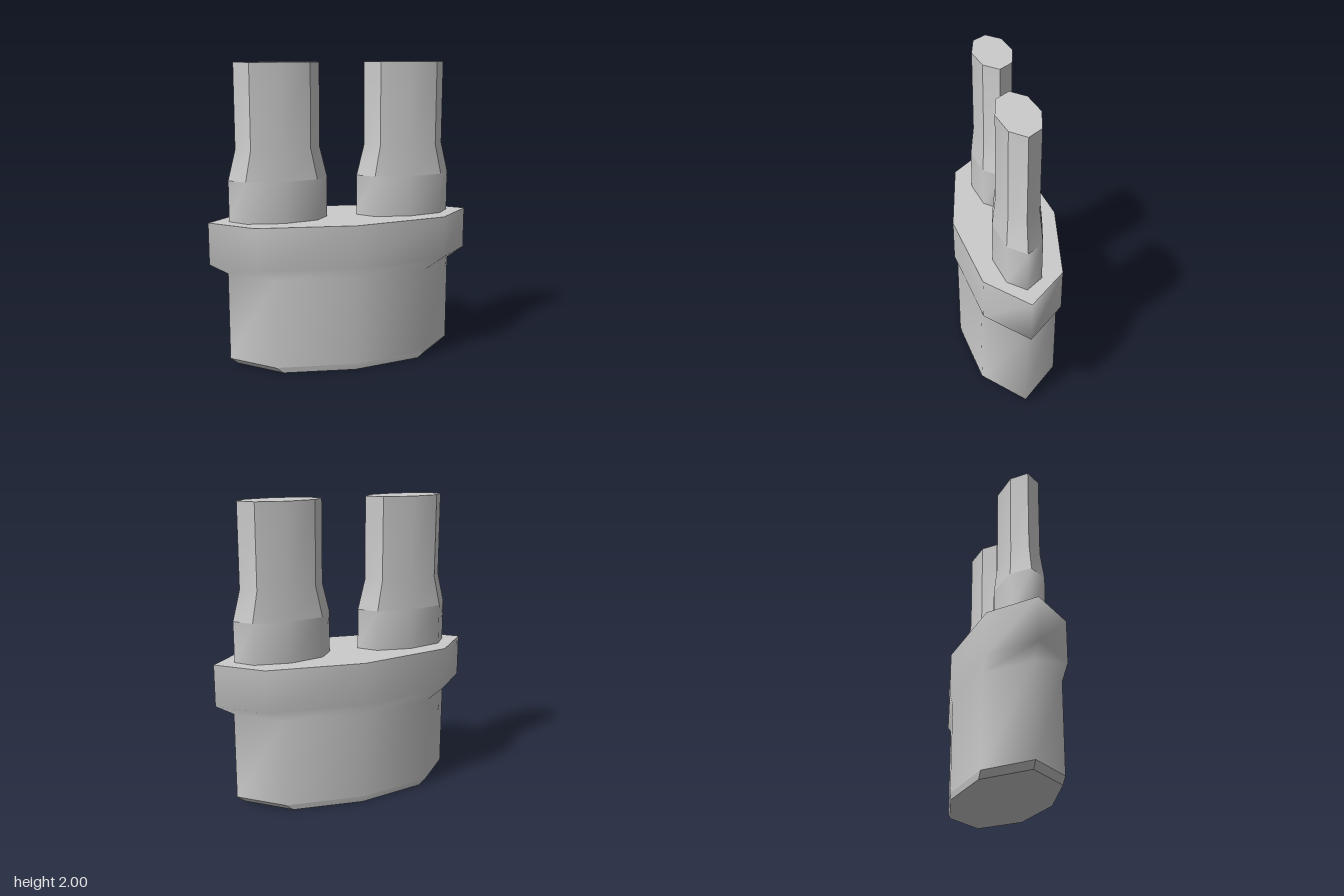
import * as THREE from 'three';
import { toCreasedNormals } from 'three/addons/utils/BufferGeometryUtils.js';

const material = new THREE.MeshStandardMaterial({ color: 0xcccccc });

// Eight-sided stretched ring: tip at (tip, 0), corner at (cx, cz), side at (0, side)
function ring(y, tip, cx, cz, side) {
  return [[tip, 0], [cx, cz], [0, side], [-cx, cz], [-tip, 0], [-cx, -cz], [0, -side], [cx, -cz]]
    .map(([x, z]) => [x, y, z]);
}

function geometryOf(points, index) {
  const g = new THREE.BufferGeometry();
  g.setAttribute('position', new THREE.Float32BufferAttribute(points.flat(), 3));
  g.setIndex(index);
  g.computeVertexNormals();
  return g;
}

// Walls between successive rings, bottom to top; a crease angle splits sharp edges
function walls(name, rings, crease) {
  const index = [];
  for (let r = 0; r < rings.length - 1; r++) {
    for (let i = 0; i < 8; i++) {
      const a = r * 8 + i, b = r * 8 + (i + 1) % 8;
      index.push(a, a + 8, b, b, a + 8, b + 8);
    }
  }
  let g = geometryOf(rings.flat(), index);
  if (crease !== undefined) g = toCreasedNormals(g, crease);
  const mesh = new THREE.Mesh(g, material);
  mesh.name = name;
  return mesh;
}

// Flat lid over one ring
function cap(name, points, up) {
  const index = [];
  for (let i = 1; i < 7; i++) index.push(0, ...(up ? [i + 1, i] : [i, i + 1]));
  const mesh = new THREE.Mesh(geometryOf(points, index), material);
  mesh.name = name;
  return mesh;
}

export function createModel() {
  const model = new THREE.Group();
  model.name = 'twinPostBody';

  // Body: chamfered foot, straight lower wall, flared upper band
  const body = new THREE.Group();
  body.name = 'body';
  const foot = ring(0, 0.73, 0.47, 0.25, 0.325);
  const lower = ring(0.04, 0.78, 0.52, 0.25, 0.33);
  const top = ring(0.98, 0.9, 0.64, 0.25, 0.35);
  body.add(
    cap('bodyBottom', foot, false),
    walls('footChamfer', [foot, lower], 0.5),
    walls('bodyWall', [lower, ring(0.63, 0.78, 0.52, 0.25, 0.33), ring(0.7, 0.9, 0.64, 0.25, 0.35), top]),
    cap('bodyTop', top, true)
  );
  model.add(body);

  // Two matching posts: smooth collar, then a faceted taper and shaft
  for (const side of [-1, 1]) {
    const post = new THREE.Group();
    post.name = side > 0 ? 'leftPost' : 'rightPost';
    const collar = ring(1.25, 0.33, 0.235, 0.11, 0.157);
    const neck = ring(1.45, 0.28, 0.196, 0.095, 0.135);
    const end = ring(2, 0.28, 0.196, 0.095, 0.135);
    post.add(
      walls('collar', [ring(0.98, 0.33, 0.235, 0.11, 0.157), collar]),
      walls('shaft', [collar, neck, end], 0.45),
      cap('postTop', end, true)
    );
    post.position.x = side * 0.433;
    model.add(post);
  }
  return model;
}
